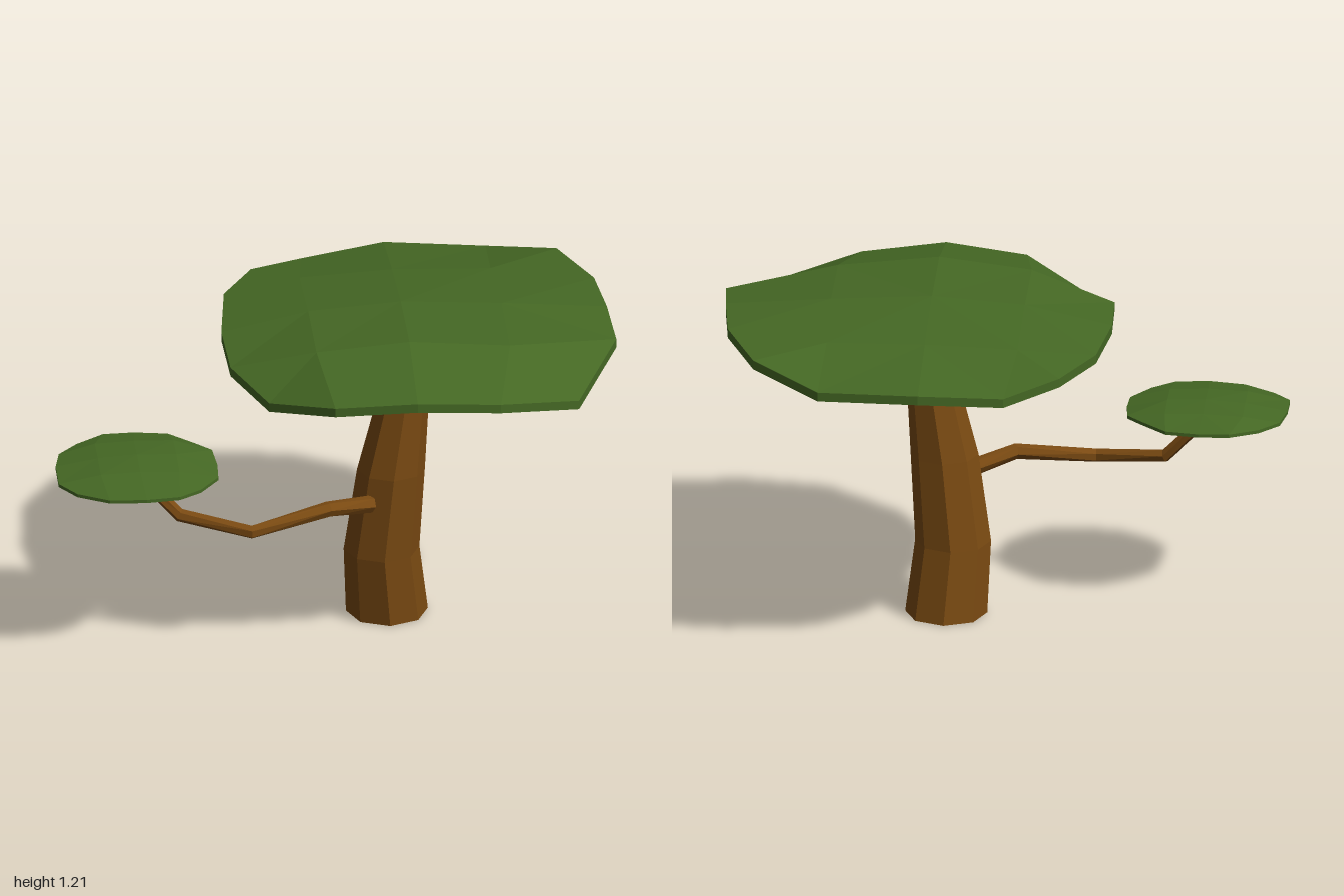
import * as THREE from 'three';

const bark = new THREE.MeshStandardMaterial({ color: 0x7a4a12, flatShading: true });
bark.name = 'barkBrown';
const leaf = new THREE.MeshStandardMaterial({ color: 0x456824, flatShading: true });
leaf.name = 'leafGreen';

// Collects triangles and quads into one flat-shaded mesh
function faceMesh(name, material, fill) {
  const pos = [];
  const tri = (a, b, c) => [a, b, c].forEach((p) => pos.push(p.x, p.y, p.z));
  const quad = (a, b, c, d) => { tri(a, b, c); tri(a, c, d); };
  fill(tri, quad);
  const geo = new THREE.BufferGeometry();
  geo.setAttribute('position', new THREE.Float32BufferAttribute(pos, 3));
  geo.computeVertexNormals();
  const mesh = new THREE.Mesh(geo, material);
  mesh.name = name;
  return mesh;
}

// Limb lofted through stations of [x, y, z, radius]
function limb(name, stations, sides, level) {
  const up = new THREE.Vector3(0, 1, 0);
  const pts = stations.map(([x, y, z]) => new THREE.Vector3(x, y, z));
  const rings = pts.map((p, i) => {
    const dir = pts[Math.min(i + 1, pts.length - 1)].clone().sub(pts[Math.max(i - 1, 0)]).normalize();
    const turn = new THREE.Quaternion().setFromUnitVectors(up, level ? up : dir);
    return Array.from({ length: sides }, (_, k) => {
      const a = (k / sides) * Math.PI * 2;
      return new THREE.Vector3(Math.cos(a), 0, Math.sin(a))
        .multiplyScalar(stations[i][3]).applyQuaternion(turn).add(p);
    });
  });
  return faceMesh(name, bark, (tri, quad) => {
    const last = rings.length - 1;
    for (let k = 0; k < sides; k++) {
      const n = (k + 1) % sides;
      for (let i = 0; i < last; i++) quad(rings[i][k], rings[i + 1][k], rings[i + 1][n], rings[i][n]);
      tri(pts[0], rings[0][k], rings[0][n]);
      tri(pts[last], rings[last][n], rings[last][k]);
    }
  });
}

// Thin leaf pad: 5 x 5 grid of [x, y, z], rows from back to front
function canopy(name, rows, rim, core) {
  const top = rows.map((row) => row.map((p) => new THREE.Vector3(...p)));
  const edge = (i) => i === 0 || i === 4;
  const low = top.map((row, r) => row.map((p, c) =>
    new THREE.Vector3(p.x, p.y - (edge(r) || edge(c) ? rim : core), p.z)));
  return faceMesh(name, leaf, (tri, quad) => {
    for (let r = 0; r < 4; r++) {
      for (let c = 0; c < 4; c++) {
        // diagonals run from the pad's corners towards its middle
        const loop = [[r, c], [r + 1, c], [r + 1, c + 1], [r, c + 1]];
        if ((r < 2) !== (c < 2)) loop.push(loop.shift());
        quad(...loop.map(([i, j]) => top[i][j]));
        quad(...[0, 3, 2, 1].map((k) => low[loop[k][0]][loop[k][1]]));
      }
    }
    // rim strip
    for (let i = 0; i < 4; i++) {
      const strip = (a, b) => quad(top[a[0]][a[1]], low[a[0]][a[1]], low[b[0]][b[1]], top[b[0]][b[1]]);
      strip([4, i], [4, i + 1]);
      strip([0, i + 1], [0, i]);
      strip([i, 0], [i + 1, 0]);
      strip([i + 1, 4], [i, 4]);
    }
  });
}

export function createModel() {
  const tree = new THREE.Group();
  tree.name = 'tree';

  tree.add(limb('trunk', [
    [0.2, 0, 0.005, 0.146],
    [0.178, 0.26, 0.04, 0.135],
    [0.21, 0.58, 0.062, 0.121],
    [0.255, 0.87, 0.065, 0.091],
    [0.255, 1.03, 0.052, 0.084],
    [0.255, 1.15, 0.035, 0.095],
  ], 8, true));

  tree.add(limb('branch', [
    [0.13, 0.485, 0.16, 0.031],
    [-0.03, 0.518, 0.26, 0.028],
    [-0.31, 0.478, 0.345, 0.025],
    [-0.56, 0.515, 0.26, 0.024],
    [-0.67, 0.63, 0.24, 0.022],
    [-0.715, 0.715, 0.262, 0.02],
  ], 6, false));

  tree.add(canopy('mainCanopy', [
    [[-0.24, 1.1, -0.53], [-0.05, 1.07, -0.67], [0.25, 1.095, -0.73], [0.61, 1.085, -0.69], [0.85, 1.14, -0.53]],
    [[-0.355, 1.11, -0.31], [-0.08, 1.14, -0.36], [0.25, 1.155, -0.37], [0.6, 1.15, -0.36], [0.96, 1.15, -0.25]],
    [[-0.39, 1.105, 0], [-0.08, 1.175, 0], [0.25, 1.2, 0], [0.61, 1.18, 0], [0.985, 1.152, 0]],
    [[-0.38, 1.09, 0.27], [-0.08, 1.175, 0.35], [0.25, 1.21, 0.365], [0.61, 1.175, 0.35], [1, 1.125, 0.22]],
    [[-0.26, 1.045, 0.485], [-0.04, 1.105, 0.68], [0.25, 1.13, 0.72], [0.55, 1.1, 0.685], [0.84, 1.04, 0.545]],
  ], 0.033, 0.055));

  tree.add(canopy('smallCanopy', [
    [[-0.91, 0.705, 0.04], [-0.81, 0.71, -0.025], [-0.7, 0.71, -0.03], [-0.58, 0.71, -0.01], [-0.49, 0.71, 0.08]],
    [[-0.98, 0.705, 0.12], [-0.85, 0.732, 0.1], [-0.71, 0.738, 0.1], [-0.57, 0.735, 0.1], [-0.435, 0.71, 0.14]],
    [[-1, 0.708, 0.23], [-0.85, 0.735, 0.23], [-0.71, 0.745, 0.23], [-0.57, 0.74, 0.23], [-0.425, 0.702, 0.25]],
    [[-1, 0.7, 0.36], [-0.85, 0.73, 0.36], [-0.71, 0.736, 0.36], [-0.57, 0.73, 0.36], [-0.43, 0.7, 0.35]],
    [[-0.94, 0.695, 0.44], [-0.83, 0.698, 0.51], [-0.7, 0.702, 0.525], [-0.58, 0.702, 0.51], [-0.5, 0.7, 0.45]],
  ], 0.012, 0.03));

  return tree;
}
